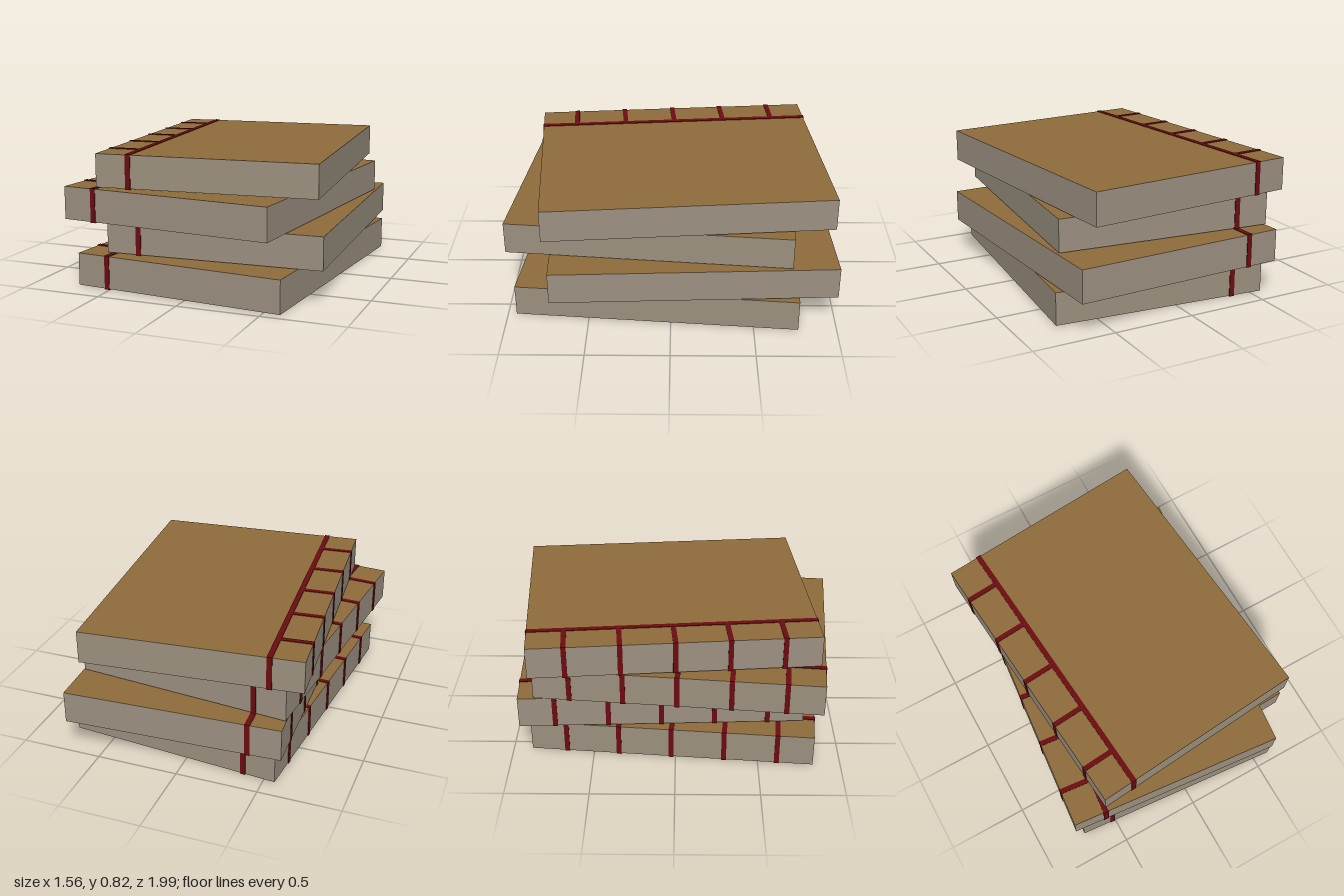
import * as THREE from 'three';

const W = 1.325, H = 0.198, L = 1.722; // book block
const T = 0.004;                       // cord thickness
const CORD = 0.032;                    // cord width
const MARGIN = 0.2;                    // spine edge to long cord
const SPACING = 0.321;                 // between cross stitches

const material = (name, color) => {
  const m = new THREE.MeshStandardMaterial({ color });
  m.name = name;
  return m;
};

export function createModel() {
  const cover = material('brown cover', 0x8f6b3b);
  const pages = material('grey pages', 0x9b9080);
  const cord = material('dark red cord', 0x6a0c10);

  const box = (name, w, h, d, x, z, mat) => {
    const mesh = new THREE.Mesh(new THREE.BoxGeometry(w, h, d), mat);
    mesh.name = name;
    mesh.position.set(x, 0, z);
    return mesh;
  };

  // One stitched book, spine on -x, centred on its own origin
  const makeBook = () => {
    const book = new THREE.Group();
    book.add(box('pageBlock', W, H, L, 0, 0, [pages, pages, cover, cover, pages, pages]));
    const seamX = -W / 2 + MARGIN;
    // Long cord loops round both covers and both ends
    book.add(box('longCord', CORD, H + 2 * T, L + 2 * T, seamX, 0, cord));
    // Cross stitches wrap the spine
    for (let i = -2; i <= 2; i++) {
      book.add(box('crossStitch', MARGIN + T, H + 1.8 * T, 0.03,
        seamX - (MARGIN + T) / 2, i * SPACING, cord));
    }
    return book;
  };

  // Stack from the bottom up: x, base y, z, turn in degrees
  const stack = [
    [0.0175, 0.007, 0.032, -5],
    [0.0775, 0.212, -0.112, 2.45],
    [-0.037, 0.416, 0.073, -5.5],
    [0.016, 0.622, -0.055, 5],
  ];
  const model = new THREE.Group();
  model.name = 'bookStack';
  stack.forEach(([x, y, z, turn], i) => {
    const book = makeBook();
    book.name = `book${i + 1}`;
    book.position.set(x, y + H / 2, z);
    book.rotation.y = THREE.MathUtils.degToRad(turn);
    model.add(book);
  });
  return model;
}
